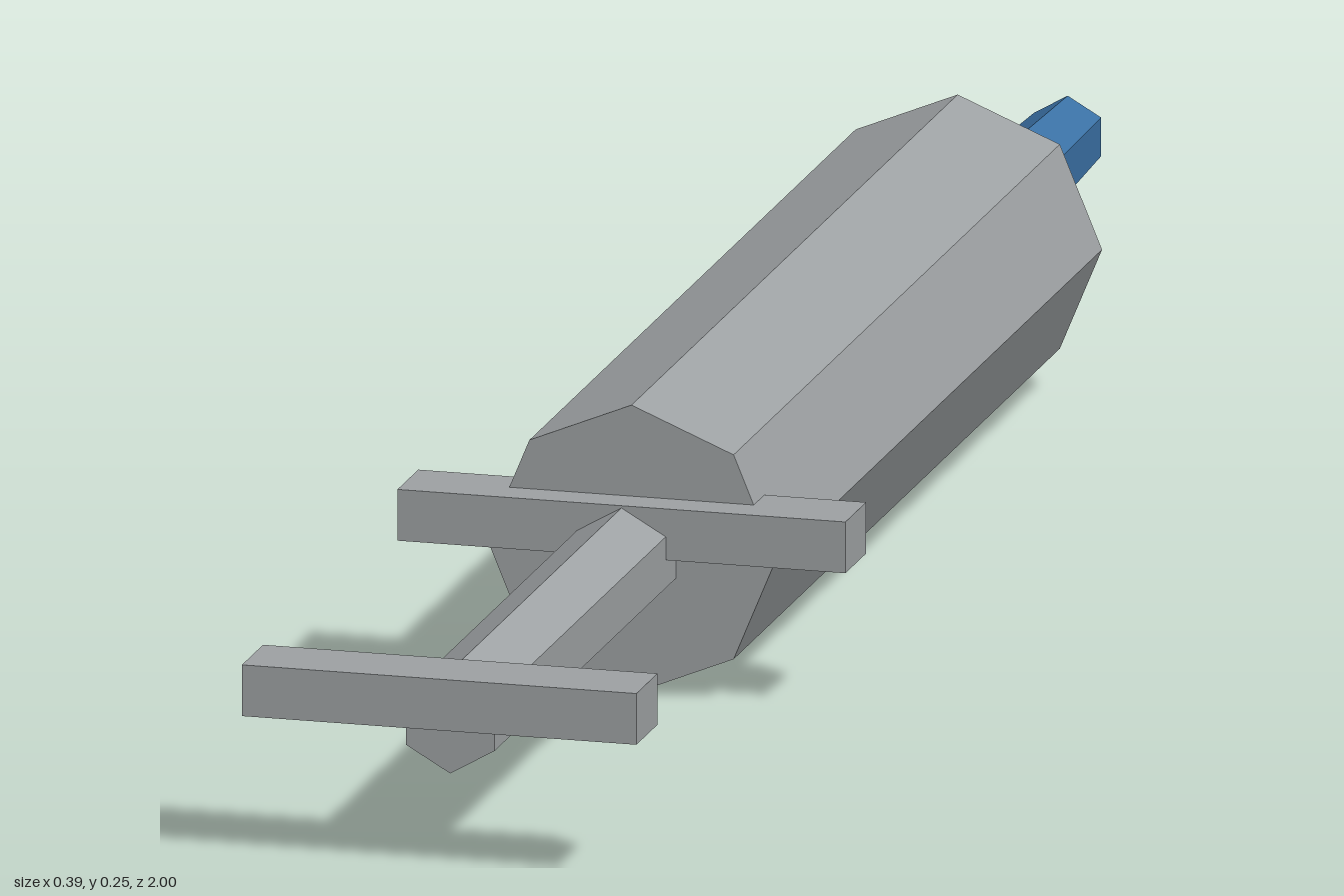
import * as THREE from 'three';

export function createModel() {
  const group = new THREE.Group();
  const grey = new THREE.MeshStandardMaterial({ name: 'grey plastic', color: 0x9fa3a5, flatShading: true });
  const blue = new THREE.MeshStandardMaterial({ name: 'blue tip', color: 0x3b72a6, flatShading: true });
  const axisY = 0.127;

  // Faceted prism along z, with a corner pointing up
  function prism(name, material, sides, frontRadius, backRadius, zBack, zFront) {
    const geometry = new THREE.CylinderGeometry(frontRadius, backRadius, zFront - zBack, sides);
    geometry.rotateX(Math.PI / 2);
    const mesh = new THREE.Mesh(geometry, material);
    mesh.name = name;
    mesh.position.set(0, axisY, (zBack + zFront) / 2);
    group.add(mesh);
  }

  // Cross bar sitting on the upper half of the axis
  function bar(name, width, zBack, zFront) {
    const mesh = new THREE.Mesh(new THREE.BoxGeometry(width, 0.045, zFront - zBack), grey);
    mesh.name = name;
    mesh.position.set(0, 0.1515, (zBack + zFront) / 2);
    group.add(mesh);
  }

  prism('barrel', grey, 8, 0.127, 0.127, -0.65, 0.388);
  prism('tip', blue, 6, 0.045, 0.034, -1, -0.64);
  prism('plungerRod', grey, 6, 0.045, 0.045, 0.37, 0.965);
  bar('fingerGrip', 0.394, 0.354, 0.42);
  bar('plungerHandle', 0.347, 0.933, 1);

  return group;
}
